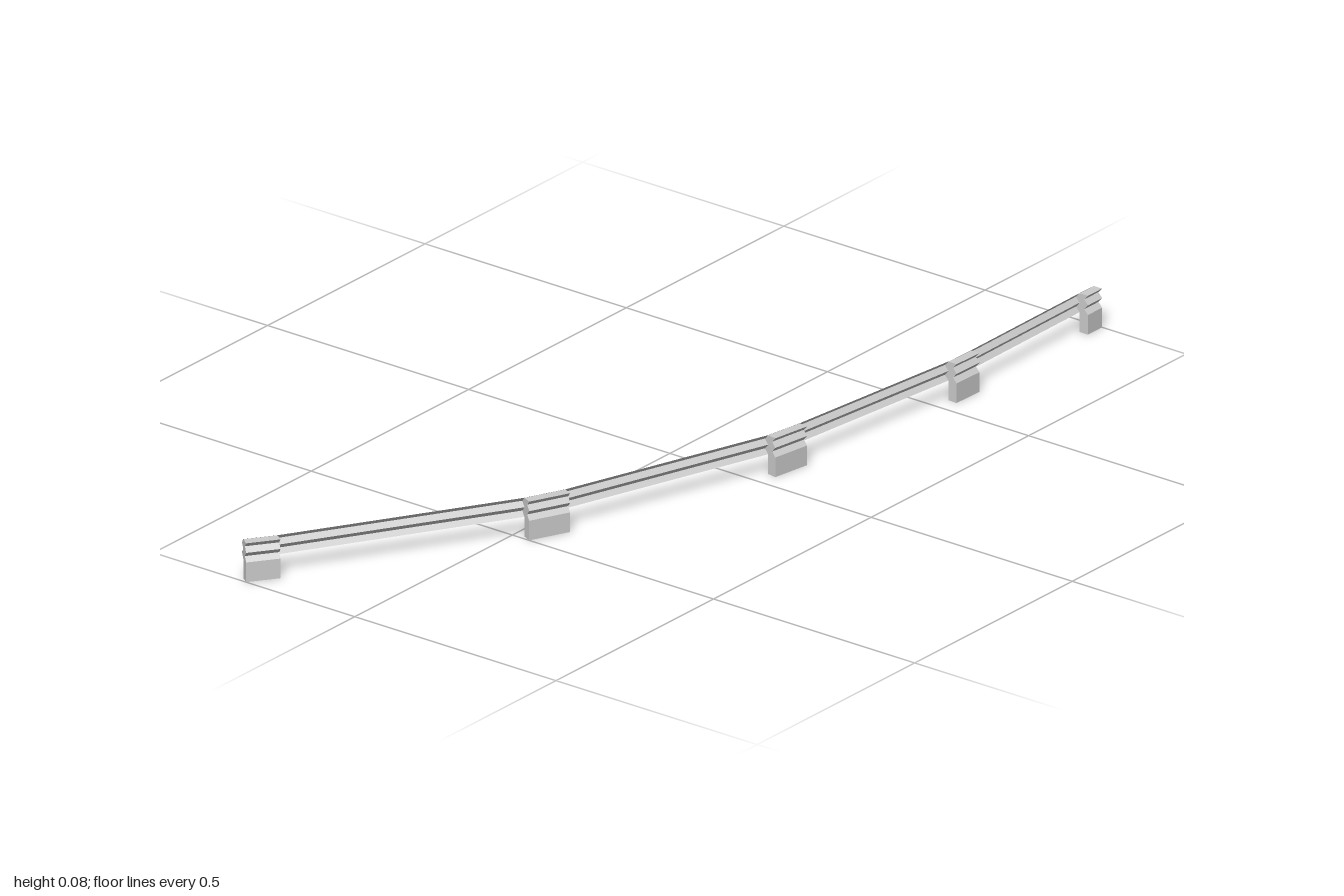
import * as THREE from 'three';

const WIDTH = 0.0205;  // post thickness across the rail
const BULGE = 0.009;   // depth of the rail corrugation
const RAIL_Y = [0.083, 0.073, 0.0625, 0.052, 0.042]; // corrugation heights, top to bottom

// outer front corner of each post (x, z), its heading in degrees and its length
const POSTS = [
  { x: 0.291, z: -0.955, turn: 0, length: 0.045 },
  { x: 0.292, z: -0.537, turn: 1.5, length: 0.07 },
  { x: 0.233, z: -0.037, turn: 9, length: 0.085 },
  { x: 0.042, z: 0.5, turn: 25, length: 0.09 },
  { x: -0.27, z: 1.0, turn: 36, length: 0.07 },
];

const bulgeAt = (row) => (row % 2 ? -BULGE : 0);

export function createModel() {
  const model = new THREE.Group();
  model.name = 'guardRail';
  const solid = new THREE.MeshStandardMaterial({ color: 0xcccccc, flatShading: true });
  const sheet = new THREE.MeshStandardMaterial({ color: 0xcccccc, flatShading: true, side: THREE.DoubleSide });

  // post outline: straight foot below, corrugated spacer block above
  const outline = new THREE.Shape();
  outline.moveTo(-WIDTH, 0);
  outline.lineTo(0, 0);
  for (let r = 4; r >= 0; r--) outline.lineTo(bulgeAt(r), RAIL_Y[r]);
  for (let r = 0; r < 5; r++) outline.lineTo(bulgeAt(r) - WIDTH, RAIL_Y[r]);
  outline.closePath();

  // posts, collecting the rail's path along their inner faces
  const columns = [];
  POSTS.forEach(({ x, z, turn, length }, i) => {
    const geometry = new THREE.ExtrudeGeometry(outline, { depth: length, bevelEnabled: false });
    geometry.translate(0, 0, -length);
    const post = new THREE.Mesh(geometry, solid);
    post.name = `post${i + 1}`;
    post.position.set(x, 0, z);
    post.rotation.y = -THREE.MathUtils.degToRad(turn);
    post.updateMatrix();
    model.add(post);
    for (const end of [-length, 0]) columns.push({ matrix: post.matrix, end });
  });

  // corrugated rail: a thin sheet bent from post to post
  const plane = new THREE.PlaneGeometry(1, 1, columns.length - 1, 4);
  const position = plane.attributes.position;
  const point = new THREE.Vector3();
  for (let i = 0; i < position.count; i++) {
    const { matrix, end } = columns[i % columns.length];
    const row = Math.floor(i / columns.length);
    point.set(bulgeAt(row) - WIDTH - 0.0006, RAIL_Y[row], end).applyMatrix4(matrix);
    position.setXYZ(i, point.x, point.y, point.z);
  }
  const railGeometry = plane.toNonIndexed();
  railGeometry.computeVertexNormals();
  const rail = new THREE.Mesh(railGeometry, sheet);
  rail.name = 'rail';
  model.add(rail);

  return model;
}
